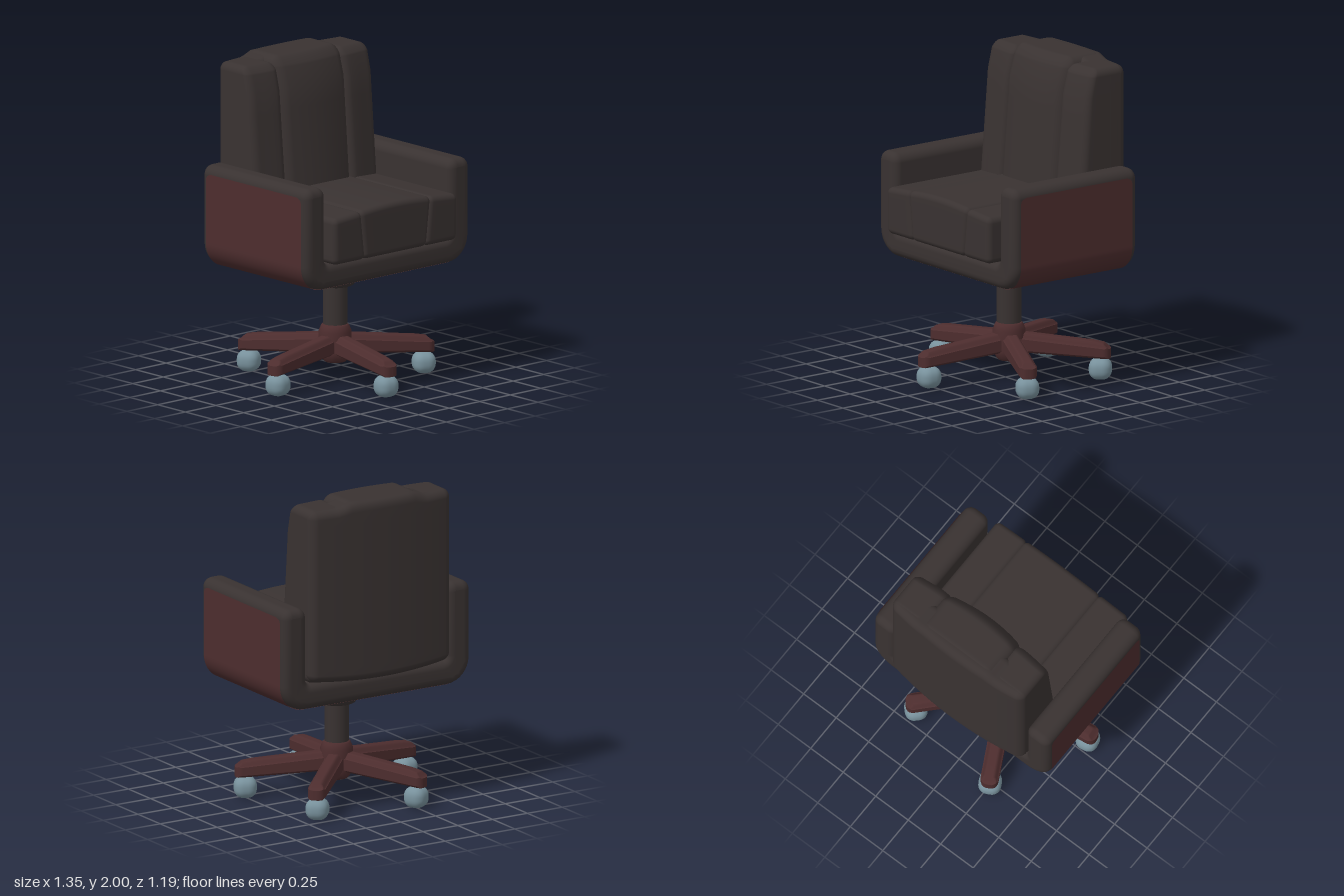
import * as THREE from 'three';
import { mergeVertices } from 'three/addons/utils/BufferGeometryUtils.js';

const material = (name, color, side = THREE.FrontSide) => {
  const m = new THREE.MeshStandardMaterial({ color, side });
  m.name = name;
  return m;
};
const lerp = THREE.MathUtils.lerp;
const smooth = THREE.MathUtils.smoothstep;

// Rounded, evenly subdivided box between two corners, reshaped by an optional rule
function softBox(min, max, r, rule, corner = 4, middle = 8) {
  const n = corner * 2 + middle;
  const geo = new THREE.BoxGeometry(2, 2, 2, n, n, n);
  geo.deleteAttribute('normal');
  geo.deleteAttribute('uv');
  const pos = geo.attributes.position;
  const v = new THREE.Vector3();
  for (let i = 0; i < pos.count; i++) {
    const core = [], extra = [];
    for (let a = 0; a < 3; a++) {
      const k = Math.round(((pos.getComponent(i, a) + 1) / 2) * n) - n / 2;
      const h = (max[a] - min[a]) / 2 - r;
      const over = Math.max(0, Math.abs(k) - middle / 2) / corner;
      core.push((min[a] + max[a]) / 2 + h * THREE.MathUtils.clamp(k / (middle / 2), -1, 1));
      extra.push(Math.sign(k) * Math.tan((over * Math.PI) / 4));
    }
    v.fromArray(extra).setLength(r);
    v.set(v.x + core[0], v.y + core[1], v.z + core[2]);
    if (rule) rule(v);
    pos.setXYZ(i, v.x, v.y, v.z);
  }
  const merged = mergeVertices(geo, 1e-5);
  merged.computeVertexNormals();
  return merged;
}

// Path through [x, y, radius] corners with rounded bends
function roundedPath(path, pts, closed) {
  const n = pts.length, k = 0.45;
  for (let i = 0; i < n; i++) {
    const [x, y, r] = pts[i];
    const p = new THREE.Vector2(x, y);
    const toward = (q, d) => p.clone().add(new THREE.Vector2(q[0] - x, q[1] - y).setLength(d));
    if (!r) {
      i ? path.lineTo(x, y) : path.moveTo(x, y);
      continue;
    }
    const prev = pts[(i + n - 1) % n], next = pts[(i + 1) % n];
    const a = toward(prev, r), b = toward(next, r), c = toward(prev, r * k), d = toward(next, r * k);
    i ? path.lineTo(a.x, a.y) : path.moveTo(a.x, a.y);
    path.bezierCurveTo(c.x, c.y, d.x, d.y, b.x, b.y);
  }
  if (closed) path.closePath();
  return path;
}

export function createModel() {
  const leather = material('dark leather', 0x393231);
  const wood = material('red wood', 0x4d2d2e);
  const panelWood = wood;
  panelWood.side = THREE.DoubleSide;
  const wheel = material('blue grey caster', 0x78919c);

  const chair = new THREE.Group();
  chair.name = 'officeChair';
  const add = (name, geo, mat, parent = chair) => {
    const mesh = new THREE.Mesh(geo, mat);
    mesh.name = name;
    parent.add(mesh);
    return mesh;
  };

  // U-shaped shell forming both arms and the seat pan
  const bevel = 0.05;
  const outline = roundedPath(new THREE.Shape(), [
    [-0.672, 1.36, 0.06], [-0.672, 0.718, 0.16], [0.672, 0.718, 0.16], [0.672, 1.36, 0.06],
    [0.503, 1.36, 0.06], [0.503, 0.875, 0.03], [-0.503, 0.875, 0.03], [-0.503, 1.36, 0.06],
  ], true);
  let shell = new THREE.ExtrudeGeometry(outline, {
    depth: 0.85, bevelSize: bevel, bevelThickness: bevel, bevelOffset: -bevel, bevelSegments: 5, curveSegments: 8,
  });
  shell.translate(0, 0, -0.445);
  shell.deleteAttribute('normal');
  shell.deleteAttribute('uv');
  shell = mergeVertices(shell, 1e-4);
  shell.computeVertexNormals();
  add('armShell', shell, leather);

  // Wood veneer wrapping the outer sides and underside
  const wrap = roundedPath(new THREE.Path(), [
    [-0.675, 1.31, 0], [-0.675, 0.715, 0.163], [0.675, 0.715, 0.163], [0.675, 1.31, 0],
  ], false);
  const length = wrap.getLength();
  const veneer = new THREE.PlaneGeometry(1, 1, 200, 1);
  const vp = veneer.attributes.position;
  for (let i = 0; i < vp.count; i++) {
    const u = THREE.MathUtils.clamp(vp.getX(i) + 0.5, 0, 1);
    const p = wrap.getPointAt(u);
    const r = 0.04, d = Math.min(r, Math.min(u, 1 - u) * length);
    const half = 0.428 - r + Math.sqrt(Math.max(0, r * r - (r - d) ** 2));
    vp.setXYZ(i, p.x, p.y, -0.02 - Math.sign(vp.getY(i)) * half);
  }
  veneer.computeVertexNormals();
  add('woodPanel', veneer, panelWood);

  // Seat: crowned centre cushion with a bolster on each side
  const seamX = (y) => 0.267 + (y - 1.03) * 0.12;
  add('seatCentre', softBox([-0.275, 0.88, -0.3], [0.275, 1.185, 0.525], 0.035, (v) => {
    v.x *= (seamX(v.y) + 0.008) / 0.275;
    v.y += 0.017 * (1 - (v.x / 0.29) ** 2) * smooth(v.y, 0.95, 1.18);
  }), leather);
  for (const s of [-1, 1]) {
    add(s > 0 ? 'seatBolsterLeft' : 'seatBolsterRight',
      softBox(s > 0 ? [0.26, 0.88, -0.3] : [-0.505, 0.88, -0.3],
        s > 0 ? [0.505, 1.185, 0.525] : [-0.26, 1.185, 0.525], 0.035, (v) => {
          const t = (0.505 - Math.abs(v.x)) / 0.245;
          v.x = s * lerp(0.505, seamX(v.y) - 0.008, t);
          v.y -= 0.018 * (1 - t) * smooth(v.y, 0.95, 1.18);
        }), leather);
  }

  // Backrest: leaning front cushions over one curved rear slab
  const lean = (v, front) => {
    const t = THREE.MathUtils.clamp((v.z + 0.54) / (front + 0.54), 0, 1);
    v.z -= t * (0.09 * (v.y - 1.36) + 0.05 * smooth(v.y, 1.85, 2.0));
  };
  add('backCentre', softBox([-0.275, 0.88, -0.55], [0.275, 2.0, -0.185], 0.065, (v) => {
    const t = (v.z + 0.55) / 0.365;
    v.z += 0.04 * t * (1 - (v.x / 0.275) ** 2);
    lean(v, -0.145);
  }), leather);
  for (const s of [-1, 1]) {
    add(s > 0 ? 'backBolsterLeft' : 'backBolsterRight',
      softBox(s > 0 ? [0.255, 0.88, -0.52] : [-0.505, 0.88, -0.52],
        s > 0 ? [0.505, 1.97, -0.18] : [-0.255, 1.97, -0.18], 0.05, (v) => {
          v.z -= 0.02 * smooth(Math.abs(v.x), 0.3, 0.505) * smooth(v.z, -0.4, -0.18);
          lean(v, -0.18);
        }), leather);
  }
  add('backRear', softBox([-0.505, 0.865, -0.577], [0.505, 1.967, -0.36], 0.05, (v) => {
    v.z += 0.042 * (v.x / 0.5) ** 2 * smooth(-v.z, 0.4, 0.57);
    v.y += 0.028 * (1 - smooth(Math.abs(v.x), 0.24, 0.3)) * smooth(v.y, 1.85, 1.96);
    v.y += 0.03 * (v.x / 0.5) ** 2 * (1 - smooth(v.y, 0.88, 1.0));
  }, 4, 20), leather);

  // Swivel base, set slightly behind the middle
  const base = new THREE.Group();
  base.name = 'swivelBase';
  base.position.z = -0.028;
  chair.add(base);
  const lathe = (pts) => new THREE.LatheGeometry(pts.map(([x, y]) => new THREE.Vector2(x, y)), 20);
  add('seatMount', lathe([[0, 0.585], [0.1, 0.585], [0.115, 0.592], [0.145, 0.64], [0.15, 0.66], [0.15, 0.73]]), leather, base);
  add('column', new THREE.CylinderGeometry(0.075, 0.075, 0.3, 20), leather, base).position.y = 0.45;
  add('hub', lathe([[0, 0.11], [0.065, 0.11], [0.08, 0.125], [0.1, 0.17], [0.1, 0.3], [0.085, 0.335], [0.075, 0.345], [0, 0.345]]), wood, base);

  // Five tapering legs, each on a rounded caster
  const legGeo = softBox([-0.055, -0.5, 0.02], [0.055, 0.5, 0.62], 0.045, (v) => {
    const t = v.z / 0.62;
    v.y = lerp(0.165 - 0.035 * t, 0.29 - 0.06 * t, v.y + 0.5);
  });
  // Round the leg section again after its height is compressed
  const lp = legGeo.attributes.position;
  for (let i = 0; i < lp.count; i++) {
    const t = lp.getZ(i) / 0.62;
    const low = 0.165 - 0.035 * t, high = 0.29 - 0.06 * t;
    const q = Math.abs(lp.getX(i)) / 0.055;
    const tip = smooth(lp.getZ(i), 0.56, 0.62);
    const drop = 0.035 * Math.max(smooth(q, 0.45, 1), tip);
    lp.setY(i, Math.min(lp.getY(i), high - drop));
    lp.setY(i, Math.max(lp.getY(i), low + 0.015 * smooth(q, 0.6, 1)));
  }
  legGeo.computeVertexNormals();
  const casterGeo = softBox([-0.07, 0, 0.487], [0.07, 0.132, 0.627], 0.056, null, 3, 2);
  for (let i = 0; i < 5; i++) {
    const arm = new THREE.Group();
    arm.name = 'baseArm' + (i + 1);
    arm.rotation.y = THREE.MathUtils.degToRad(-8.6 + 72 * i);
    base.add(arm);
    add('leg', legGeo, wood, arm);
    add('caster', casterGeo, wheel, arm);
  }
  return chair;
}
